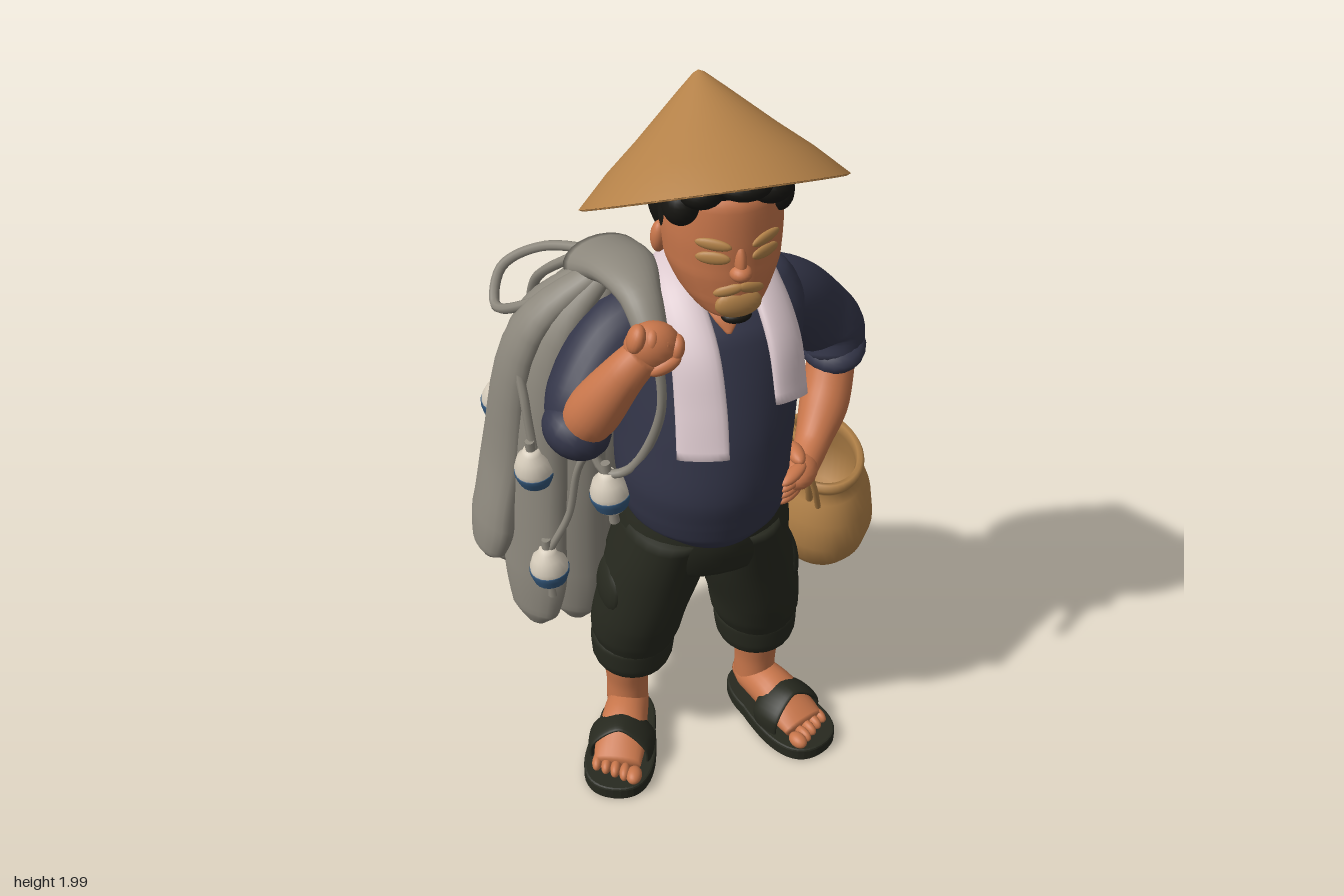
import * as THREE from 'three';

const V = (p) => new THREE.Vector3(p[0], p[1], p[2]);
const mat = (name, color) => Object.assign(new THREE.MeshStandardMaterial({ color }), { name });
const M = {
  skin: mat('skin', 0xc8764b), straw: mat('straw', 0xb48148), wicker: mat('wicker', 0xb48349),
  navy: mat('navy cloth', 0x333548), olive: mat('dark olive', 0x27291f), hair: mat('hair black', 0x171612),
  net: mat('net grey', 0x8d887d), towel: mat('towel pink', 0xdac7cc), cream: mat('float cream', 0xd5cbba),
  blue: mat('band blue', 0x34587c),
};

function add(parent, name, geo, material) {
  const m = new THREE.Mesh(geo, material);
  m.name = name;
  parent.add(m);
  return m;
}

// Sweep elliptical rings through [x, y, z, halfWidth, halfThickness] points.
// flat: horizontal rings, listed top to bottom. ref: thickness direction. centre: thickness points away from it.
function sweep(pts, { flat, ref, centre, steps = 6, sides = 24 } = {}) {
  const path = new THREE.CatmullRomCurve3(pts.map(V));
  const size = new THREE.CatmullRomCurve3(pts.map((p) => new THREE.Vector3(p[3], p[4] ?? p[3], 0)));
  const n = (pts.length - 1) * steps, pos = [], idx = [];
  for (let i = 0; i <= n; i++) {
    const p = path.getPoint(i / n), s = size.getPoint(i / n), T = path.getTangent(i / n);
    let N = new THREE.Vector3(0, 0, 1), W = new THREE.Vector3(1, 0, 0);
    if (!flat) {
      N = centre ? p.clone().sub(V(centre)) : V(ref || [0, 0, 1]);
      N.addScaledVector(T, -N.dot(T)).normalize();
      W = N.clone().cross(T);
    }
    for (let j = 0; j < sides; j++) {
      const a = (j / sides) * Math.PI * 2;
      const q = p.clone().addScaledVector(W, Math.cos(a) * s.x).addScaledVector(N, Math.sin(a) * s.y);
      pos.push(q.x, q.y, q.z);
    }
  }
  for (let i = 0; i < n; i++) for (let j = 0; j < sides; j++) {
    const a = i * sides + j, b = i * sides + (j + 1) % sides;
    idx.push(a, b, a + sides, b, b + sides, a + sides);
  }
  const c0 = pos.length / 3, e = n * sides;
  pos.push(...pts[0].slice(0, 3), ...pts[pts.length - 1].slice(0, 3));
  for (let j = 0; j < sides; j++) {
    const k = (j + 1) % sides;
    idx.push(c0, k, j, c0 + 1, e + j, e + k);
  }
  const g = new THREE.BufferGeometry();
  g.setAttribute('position', new THREE.Float32BufferAttribute(pos, 3));
  g.setIndex(idx);
  g.computeVertexNormals();
  return g;
}

function ball(parent, name, material, p, s, rot = [0, 0, 0]) {
  const m = add(parent, name, new THREE.SphereGeometry(1, 20, 14), material);
  m.position.set(...p);
  m.scale.set(...s);
  m.rotation.set(...rot);
  return m;
}
const rope = (parent, name, material, pts, r, closed = false) =>
  add(parent, name, new THREE.TubeGeometry(new THREE.CatmullRomCurve3(pts.map(V), closed), 48, r, 8, closed), material);
const lathe = (pts, n = 40) => new THREE.LatheGeometry(pts.map((p) => new THREE.Vector2(...p)), n);

function makeHead(g) {
  add(g, 'head', sweep([[.043, 1.88, .17, .07, .08], [.043, 1.82, .18, .133, .15], [.043, 1.73, .185, .14, .153],
    [.043, 1.65, .19, .134, .15], [.043, 1.58, .205, .106, .132], [.043, 1.54, .225, .075, .105], [.043, 1.515, .25, .03, .045]], { flat: true }), M.skin);
  add(g, 'neck', sweep([[.045, 1.64, .13, .08, .08], [.045, 1.54, .11, .085, .085], [.045, 1.44, .1, .1, .1]], { flat: true }), M.skin);
  add(g, 'neckOpening', sweep([[.05, 1.54, .13, .06, .01], [.05, 1.5, .182, .052, .009], [.05, 1.465, .222, .03, .008], [.05, 1.435, .241, .006, .005]]), M.skin);
  ball(g, 'nose', M.skin, [.043, 1.662, .338], [.026, .02, .028]);
  ball(g, 'noseBridge', M.skin, [.043, 1.69, .33], [.015, .045, .022], [-.25, 0, 0]);
  add(g, 'hairCap', sweep([[.04, 1.915, .17, .06, .08], [.04, 1.89, .17, .125, .15], [.04, 1.86, .175, .145, .163], [.04, 1.835, .17, .14, .15]], { flat: true }), M.hair);
  add(g, 'backHair', sweep([[.04, 1.86, .11, .135, .1], [.04, 1.74, .095, .144, .1], [.04, 1.66, .08, .122, .077], [.04, 1.59, .075, .08, .052]], { flat: true }), M.hair);
  [[-.075, 1.815, .27, .042, .048], [-.04, 1.86, .31, .05, .035], [.05, 1.875, .335, .06, .03],
    [.115, 1.855, .31, .05, .038], [.15, 1.815, .26, .035, .05]].forEach(([x, y, z, a, b]) => ball(g, 'hairTuft', M.hair, [x, y, z], [a, b, .045]));
  for (const s of [-1, 1]) {
    const x = (d) => .043 + s * d;
    ball(g, 'ear', M.skin, [x(.136), 1.67, .15], [.02, .042, .025], [.15, s * .4, 0]);
    ball(g, 'sideburn', M.hair, [x(.133), 1.76, .18], [.012, .055, .022]);
    ball(g, 'eyebrow', M.wicker, [x(.06), 1.735, .324], [.042, .014, .009], [0, s * .5, s * .1]);
    ball(g, 'eyePatch', M.wicker, [x(.06), 1.7, .322], [.04, .016, .009], [0, s * .5, 0]);
    ball(g, 'moustache', M.wicker, [x(.026), 1.618, .333], [.036, .014, .01], [0, s * .3, -s * .3]);
  }
  ball(g, 'beardPatch', M.wicker, [.043, 1.575, .325], [.055, .036, .02]);
  ball(g, 'goatee', M.hair, [.043, 1.535, .313], [.036, .017, .025]);

  const hat = add(g, 'strawHat', lathe([[0, .25], [.15, .13], [.3, 0], [.309, .004], [.235, .076], [.16, .139], [.05, .238], [.012, .271], [0, .276]], 56), M.straw);
  hat.position.set(.04, 1.753, .14);
  hat.rotation.x = -.52;
}

function makeBody(g) {
  add(g, 'shirt', sweep([[.045, 1.535, .06, .09, .07], [.055, 1.5, .055, .19, .125], [.05, 1.42, .075, .235, .175], [.04, 1.3, .095, .232, .2],
    [.03, 1.15, .115, .227, .225], [.02, 1.02, .128, .222, .232], [.025, .93, .125, .218, .222], [.025, .88, .125, .202, .21], [.025, .845, .125, .155, .19]], { flat: true, sides: 40 }), M.navy);
  add(g, 'pantsHips', sweep([[.03, .95, .11, .195, .185], [.03, .82, .115, .222, .187], [.03, .72, .11, .23, .165], [.03, .66, .1, .15, .11]], { flat: true, sides: 32 }), M.olive);
  add(g, 'towel', sweep([[-.05, 1.185, .375, .063, .014], [-.045, 1.3, .335, .062, .018], [-.045, 1.42, .28, .058, .022], [-.055, 1.52, .17, .055, .022],
    [-.04, 1.555, .06, .05, .022], [.045, 1.56, 0, .045, .022], [.13, 1.555, .06, .05, .022], [.155, 1.52, .17, .052, .022],
    [.175, 1.42, .27, .055, .02], [.18, 1.285, .33, .056, .014]], { centre: [.05, 1.25, .12], sides: 20 }), M.towel);

  // Right arm, bent up to the shoulder
  add(g, 'rightSleeve', sweep([[-.06, 1.41, .05, .11], [-.18, 1.37, .09, .105], [-.28, 1.26, .16, .098], [-.31, 1.2, .195, .08]]), M.navy);
  ball(g, 'rightSleeveCuff', M.navy, [-.315, 1.212, .21], [.085, .07, .092], [0, 0, -.4]);
  add(g, 'rightForearm', sweep([[-.31, 1.2, .21, .05], [-.28, 1.29, .255, .066], [-.215, 1.41, .295, .052], [-.17, 1.46, .3, .045]], { ref: [1, 0, 0] }), M.skin);
  ball(g, 'rightFist', M.skin, [-.15, 1.475, .295], [.066, .06, .05]);
  for (let i = 0; i < 4; i++) ball(g, 'rightFinger', M.skin, [-.19 + i * .03, 1.51 - i * .014, .31], [.021, .036, .03], [0, 0, -.3]);
  ball(g, 'rightThumb', M.skin, [-.13, 1.44, .33], [.042, .019, .02], [0, 0, .4]);

  // Left arm, hand on the hip
  add(g, 'leftSleeve', sweep([[.16, 1.4, .05, .11], [.26, 1.365, .015, .103], [.345, 1.285, -.02, .1], [.405, 1.215, -.022, .09], [.405, 1.15, .005, .075]]), M.navy);
  ball(g, 'leftSleeveCuff', M.navy, [.408, 1.18, -.008], [.085, .045, .1], [.25, 0, .2]);
  add(g, 'leftForearm', sweep([[.41, 1.17, -.01, .062], [.37, 1.06, .06, .064], [.31, .985, .14, .046], [.265, .96, .2, .04]], { ref: [1, 0, 0] }), M.skin);
  ball(g, 'leftHand', M.skin, [.25, .965, .21], [.05, .042, .07], [0, -.5, 0]);
  for (let i = 0; i < 4; i++) ball(g, 'leftFinger', M.skin, [.22, .992 - i * .024, .258 - i * .006], [.048, .015, .02], [0, .6, .15]);
  ball(g, 'leftThumb', M.skin, [.245, 1.01, .2], [.022, .02, .045]);
}

function makeLeg(s) {
  const g = new THREE.Group();
  g.name = s < 0 ? 'rightLeg' : 'leftLeg';
  const X = (x) => .02 + s * x;
  add(g, 'pantsLeg', sweep([[X(.09), .84, .12, .115, .175], [X(.125), .65, .1, .133, .155], [X(.16), .5, .085, .126, .142], [X(.17), .42, .075, .122, .13],
    [X(.175), .36, .07, .1, .112]], { flat: true }), M.olive);
  add(g, 'rolledCuff', sweep([[X(.175), .4, .07, .1, .11], [X(.176), .375, .068, .116, .121], [X(.178), .32, .066, .112, .117], [X(.178), .29, .065, .1, .105], [X(.178), .285, .065, .07, .07]], { flat: true }), M.olive);
  ball(g, 'sidePocket', M.olive, [X(.24), .6, .1], [.035, .085, .085], [0, 0, s * .1]);
  add(g, 'shin', sweep([[X(.185), .36, .055, .075, .08], [X(.19), .25, .048, .066, .072], [X(.19), .17, .043, .058, .066], [X(.19), .08, .04, .058, .07]], { flat: true }), M.skin);

  // Foot and sandal, toes turned outward
  const f = new THREE.Group();
  f.name = 'sandalFoot';
  f.position.set(X(.226), 0, .14);
  f.rotation.y = s * .4;
  const sole = new THREE.Shape();
  sole.moveTo(0, .195).bezierCurveTo(.115, .195, .1, .06, .076, -.05).bezierCurveTo(.07, -.225, -.07, -.225, -.076, -.05).bezierCurveTo(-.1, .06, -.115, .195, 0, .195);
  const sg = new THREE.ExtrudeGeometry(sole, { depth: .028, bevelSize: .006, bevelThickness: .006, bevelSegments: 2, curveSegments: 16 });
  sg.rotateX(Math.PI / 2).translate(0, .034, 0);
  add(f, 'sole', sg, M.olive);
  add(f, 'foot', sweep([[0, .08, -.155, .035, .035], [0, .09, -.11, .055, .052], [0, .092, -.02, .064, .06], [0, .073, .07, .07, .04], [0, .06, .125, .066, .024]], { ref: [0, 1, 0] }), M.skin);
  for (let i = 0; i < 5; i++) ball(f, 'toe', M.skin, [s * (-.052 + i * .027), .055, .155 - i * .009], [i ? .015 : .022, .02, .03]);
  add(f, 'strap', sweep([[-.082, .03, .05, .04, .009], [-.077, .085, .045, .048, .011], [0, .135, .03, .05, .011], [.077, .085, .045, .048, .011], [.082, .03, .05, .04, .009]], { centre: [0, .03, .045] }), M.olive);
  g.add(f);
  return g;
}

function makeBasket(g) {
  const b = add(g, 'basket', lathe([[0, 0], [.13, 0], [.145, .008], [.176, .055], [.194, .125], [.181, .205], [.152, .265], [.136, .288], [.146, .305], [.15, .32], [.141, .334],
    [.127, .33], [.12, .3], [.16, .2], [.15, .06], [0, .03]]), M.wicker);
  b.position.set(.41, .508, -.06);
  b.rotation.set(.15, 0, .05);
  b.scale.x = .77;
  rope(g, 'basketHandle', M.wicker, [[.32, .78, .12], [.302, .86, .15], [.28, .96, .15], [.295, .95, .05], [.3, .89, -.07], [.32, .81, -.14]], .01);
  rope(g, 'basketHandleCord', M.wicker, [[.34, .76, .135], [.315, .85, .165], [.285, .95, .165], [.31, .94, .04], [.32, .88, -.08], [.335, .81, -.15]], .008);
}

function makeFloat(p, tilt = [0, 0, 0]) {
  const g = new THREE.Group();
  g.name = 'netFloat';
  add(g, 'floatBody', lathe([[0, -.06], [.02, -.058], [.038, -.04], [.049, -.01], [.05, .015], [.04, .045], [.025, .06], [.02, .072], [0, .074]], 20), M.cream);
  add(g, 'floatBand', lathe([[.043, -.034], [.0505, -.012], [.0525, .002], [.05, .003]], 20), M.blue);
  for (const y of [-.075, .082]) add(g, 'floatTip', new THREE.CylinderGeometry(.012, .014, .035, 10).translate(0, y, 0), M.net);
  g.position.set(...p);
  g.rotation.set(...tilt);
  return g;
}

function makeNet(g) {
  add(g, 'netCore', sweep([[-.17, 1.56, .03, .05, .05], [-.21, 1.42, -.06, .12, .1], [-.27, 1.15, -.11, .18, .14], [-.29, .8, -.12, .19, .14], [-.29, .55, -.08, .12, .1]], { flat: true }), M.net);
  add(g, 'netGather', sweep([[-.14, 1.46, .29, .035], [-.15, 1.545, .2, .05, .035], [-.16, 1.555, .08, .08, .04], [-.18, 1.5, -.06, .1, .06]], { ref: [0, 1, 0] }), M.net);
  // Hanging folds: middle point, end point, half width, optional point the fold faces away from
  [[[-.03, 1.06, -.2], [-.02, .69, -.27], .13, [-.4, 1, -.17]], [[-.1, 1.05, -.25], [-.13, .54, -.27], .1], [[-.2, 1, -.25], [-.2, .41, -.16], .1],
    [[-.34, .98, -.26], [-.33, .41, -.17], .1], [[-.42, .98, -.18], [-.45, .52, -.17], .095], [[-.455, .97, -.05], [-.52, .66, -.04], .095],
    [[-.39, .95, .03], [-.42, .47, .05], .1], [[-.29, .9, .03], [-.3, .41, .0], .085], [[-.21, .95, .0], [-.24, .46, -.06], .075],
  ].forEach(([m, e, w, centre = [-.22, 1, -.1]]) => {
    const a = [-.17, 1.56, .04], mix = (p, q, t) => p.map((v, i) => v + (q[i] - v) * t);
    const q1 = mix(a, m, .48);
    q1[0] += Math.min(0, m[0] + .22) * .3;
    q1[1] += .09;
    add(g, 'netFold', sweep([[...a, .025, .02], [...q1, w * .65, .042], [...m, w * .95, .05], [...mix(m, e, .6), w, .05], [...mix(m, e, .9), w * .75, .038], [...e, w * .3, .015]],
      { centre, sides: 18 }), M.net);
  });
  // Loose rope loops
  rope(g, 'rearLoop', M.net, [[-.2, 1.53, -.02], [-.3, 1.49, -.17], [-.4, 1.41, -.23], [-.43, 1.34, -.18], [-.38, 1.4, -.06], [-.27, 1.5, .02]], .013, true);
  rope(g, 'backLoop', M.net, [[-.18, 1.53, -.08], [-.2, 1.38, -.22], [-.25, 1.2, -.3], [-.31, 1.2, -.29], [-.32, 1.38, -.2], [-.24, 1.52, -.06]], .013, true);
  rope(g, 'frontLoop', M.net, [[-.15, 1.45, .29], [-.13, 1.3, .3], [-.19, 1.05, .2], [-.24, 1.03, .17], [-.27, 1.15, .13], [-.2, 1.4, .24]], .012, true);
  rope(g, 'floatLine', M.net, [[-.17, 1.44, .27], [-.22, 1.25, .24], [-.3, 1.05, .15], [-.33, .88, .13], [-.38, .77, .12]], .01);
  rope(g, 'sideLoop', M.net, [[-.2, 1.5, .05], [-.35, 1.43, .02], [-.41, 1.32, .02], [-.41, 1.2, .06], [-.4, 1.07, .08]], .012);
  [[[-.4, 1, .075], [.1, 0, .1]], [[-.23, .96, .17], [0, 0, .1]], [[-.385, .7, .115], [0, 0, .05]],
    [[-.145, 1.09, -.335], [.35, 0, 0]], [[-.125, .91, -.33], [.2, 0, 0]], [[-.43, 1.01, -.22], [.15, 0, -.1]],
  ].forEach(([p, r]) => g.add(makeFloat(p, r)));
}

export function createModel() {
  const root = new THREE.Group();
  root.name = 'fisherman';
  const part = (name, build) => {
    const g = new THREE.Group();
    g.name = name;
    build(g);
    root.add(g);
  };
  part('headAndHat', makeHead);
  part('body', makeBody);
  part('legs', (g) => g.add(makeLeg(-1), makeLeg(1)));
  part('wickerBasket', makeBasket);
  part('fishingNet', makeNet);
  return root;
}
